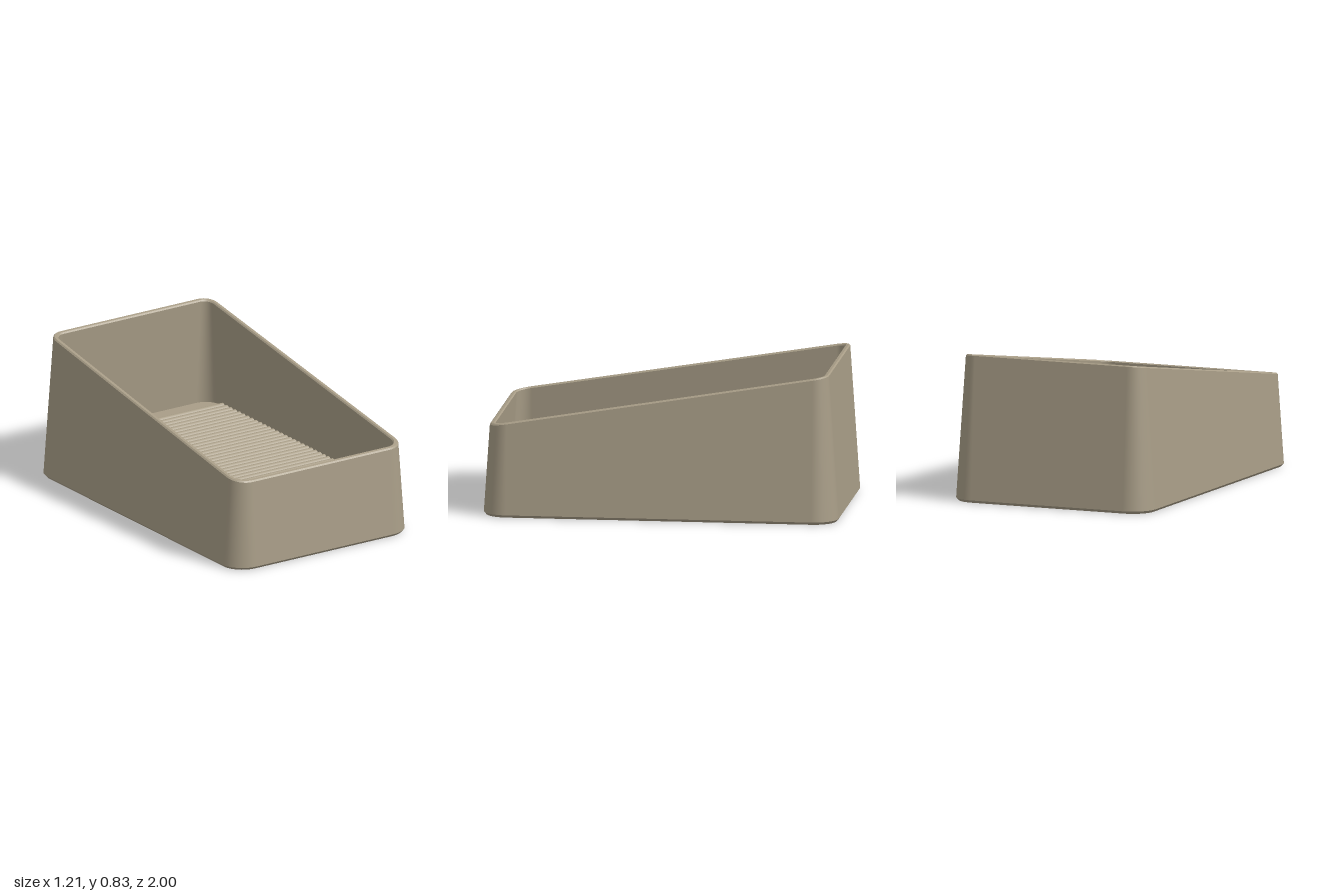
import * as THREE from 'three';

const HALF_X = 0.605, HALF_Z = 1, CORNER = 0.14, DRAFT = 0.068;
const WALL = 0.03, BEVEL = 0.007, FLOOR_Y = 0.205, STEPS = 10;

// Sloping rim height, low at the front and high at the back
const rimY = (z) => 0.675 - 0.1658 * z;

// Rounded rectangle that shrinks with height; height may depend on z
function ring(inset, heightAt) {
  const points = [];
  for (let c = 0; c < 4; c++) {
    const cx = (HALF_X - CORNER) * (c === 0 || c === 3 ? 1 : -1);
    const cz = (HALF_Z - CORNER) * (c < 2 ? 1 : -1);
    for (let k = 0; k <= STEPS; k++) {
      const a = (c + k / STEPS) * Math.PI / 2;
      let y = 0, r = 0, z = cz;
      for (let n = 0; n < 6; n++) {
        y = heightAt(z);
        r = CORNER - DRAFT * y - inset;
        z = cz + r * Math.sin(a);
      }
      points.push([cx + r * Math.cos(a), y, z]);
    }
  }
  return points;
}

const centreRing = (y) => Array.from({ length: 4 * (STEPS + 1) }, () => [0, y, 0]);

// Closed strip of faces between two rings
function band(lower, upper) {
  const n = lower.length, index = [];
  for (let i = 0; i < n; i++) {
    const j = (i + 1) % n;
    index.push(i, n + i, j, j, n + i, n + j);
  }
  const geometry = new THREE.BufferGeometry();
  geometry.setAttribute('position', new THREE.Float32BufferAttribute([...lower, ...upper].flat(), 3));
  geometry.setIndex(index);
  geometry.computeVertexNormals();
  return geometry;
}

export function createModel() {
  const model = new THREE.Group();
  model.name = 'slopedTray';
  const taupe = new THREE.MeshStandardMaterial({ color: 0xa89d87 });
  taupe.name = 'taupe';

  // Shell: underside, foot chamfer, outer wall, bevelled rim, inner wall, floor
  const rings = [
    centreRing(0),
    ring(0.015, () => 0),
    ring(0, () => 0.015),
    ring(0, (z) => rimY(z) - BEVEL),
    ring(BEVEL, rimY),
    ring(WALL - BEVEL, rimY),
    ring(WALL, (z) => rimY(z) - BEVEL),
    ring(WALL, () => FLOOR_Y),
    centreRing(FLOOR_Y),
  ];
  const names = ['underside', 'footChamfer', 'outerWall', 'rimOuterBevel',
    'rim', 'rimInnerBevel', 'innerWall', 'floor'];
  names.forEach((name, i) => {
    const mesh = new THREE.Mesh(band(rings[i], rings[i + 1]), taupe);
    mesh.name = name;
    model.add(mesh);
  });

  // Half-round ribs across the floor
  const ribs = new THREE.Group();
  ribs.name = 'floorRibs';
  const count = 40, first = -0.83, last = 0.805;
  const length = 2 * (HALF_X - DRAFT * FLOOR_Y - WALL);
  const ribGeometry = new THREE.CylinderGeometry(0.019, 0.019, length, 10, 1, true, 0, Math.PI);
  ribGeometry.rotateZ(Math.PI / 2);
  for (let i = 0; i < count; i++) {
    const rib = new THREE.Mesh(ribGeometry, taupe);
    rib.name = 'rib';
    rib.position.set(0, FLOOR_Y, first + (last - first) * i / (count - 1));
    ribs.add(rib);
  }
  model.add(ribs);
  return model;
}
